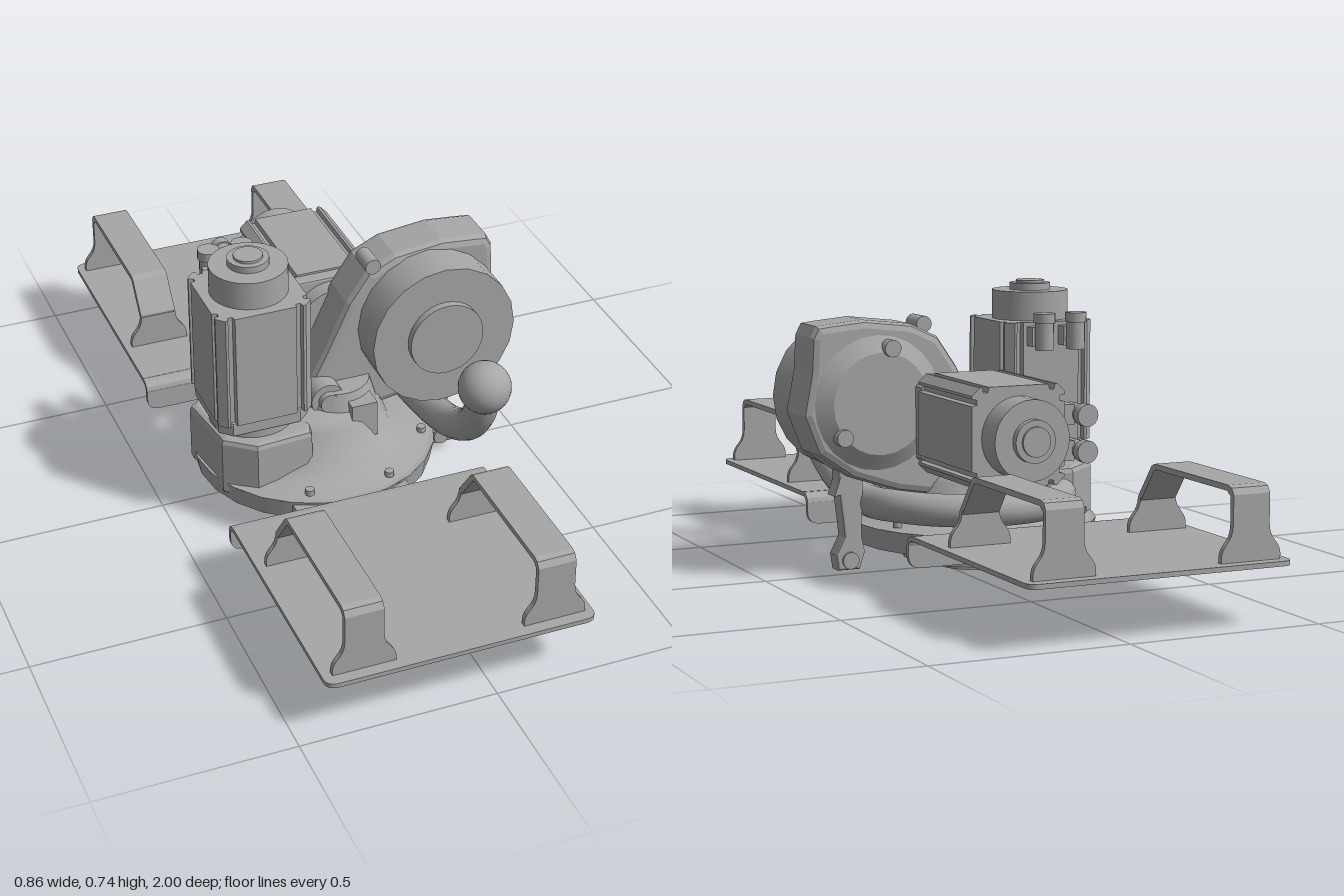
import * as THREE from 'three';

const metal = new THREE.MeshStandardMaterial({ color: 0xa6a6a6 });
metal.name = 'grey metal';

function add(parent, name, geo, x = 0, y = 0, z = 0) {
  const m = new THREE.Mesh(geo, metal);
  m.name = name;
  m.position.set(x, y, z);
  parent.add(m);
  return m;
}
const disc = (r, h, r2 = r, seg = 32) => new THREE.CylinderGeometry(r2, r, h, seg);
const discZ = (r, h, seg = 32) => disc(r, h, r, seg).rotateX(Math.PI / 2);
const shapeOf = pts => new THREE.Shape(pts.map(p => new THREE.Vector2(p[0], p[1])));
const extrude = (shape, depth, bevel = 0, curveSegments = 8) => new THREE.ExtrudeGeometry(shape, {
  depth: depth - 2 * bevel, bevelEnabled: bevel > 0, bevelThickness: bevel, bevelSize: bevel,
  bevelOffset: -bevel, bevelSegments: 2, curveSegments,
}).translate(0, 0, bevel);

// Rectangle rounded only on its two lower corners
function tongue(x0, x1, y0, y1, r) {
  const s = new THREE.Shape();
  s.moveTo(x0, y1);
  s.lineTo(x0, y0 + r);
  s.quadraticCurveTo(x0, y0, x0 + r, y0);
  s.lineTo(x1 - r, y0);
  s.quadraticCurveTo(x1, y0, x1, y0 + r);
  s.lineTo(x1, y1);
  return s;
}

// Bent carrying strap with flared feet; runs along z
function makeHandle() {
  const g = new THREE.Group();
  g.name = 'handle';
  const t = 0.014;
  const strap = shapeOf([
    [0.97, 0.157], [0.97, 0.315], [0.96, 0.33], [0.945, 0.335], [0.6, 0.335], [0.585, 0.328],
    [0.525, 0.25], [0.52, 0.235], [0.52, 0.157], [0.52 + t, 0.157], [0.52 + t, 0.235],
    [0.597, 0.317], [0.605, 0.321], [0.94, 0.321], [0.956, 0.31], [0.956, 0.157],
  ]);
  // Extrusion axis becomes -x, profile x becomes z
  add(g, 'strap', extrude(strap, 0.097).rotateY(-Math.PI / 2), 0.0485);
  const foot = new THREE.Shape();
  foot.moveTo(-0.079, 0.157);
  foot.lineTo(0.079, 0.157);
  foot.lineTo(0.079, 0.172);
  foot.bezierCurveTo(0.075, 0.205, 0.05, 0.2, 0.0485, 0.245);
  foot.lineTo(-0.0485, 0.245);
  foot.bezierCurveTo(-0.05, 0.2, -0.075, 0.205, -0.079, 0.172);
  for (const z of [0.52, 0.956]) add(g, 'handleFoot', extrude(foot, t), 0, 0, z);
  return g;
}

// Mounting tray on the +z side, or mirrored to the back
function makeTray(side) {
  const g = new THREE.Group();
  g.name = side > 0 ? 'frontTray' : 'backTray';
  const place = (name, geo, x = 0, y = 0, z = 0) => add(g, name, geo, x, y, z);
  place('trayPlate', extrude(tongue(-0.43, 0.255, -1, -0.36, 0.03), 0.012).rotateX(-Math.PI / 2), 0, 0.145);
  const bend = shapeOf([[0.365, 0.157], [0.345, 0.154], [0.333, 0.144], [0.329, 0.13],
    [0.341, 0.13], [0.344, 0.138], [0.352, 0.144], [0.365, 0.145]]);
  place('trayBend', extrude(bend, 0.685).rotateY(-Math.PI / 2), 0.255);
  place('trayLip', extrude(tongue(-0.43, 0.255, 0.073, 0.132, 0.035), 0.012), 0, 0, 0.329);
  for (const x of [-0.2, 0.028]) {
    place('lipScrew', discZ(0.013, 0.006, 16), x, 0.097, 0.341);
    place('trayTab', new THREE.BoxGeometry(0.08, 0.045, 0.11), x, 0.097, 0.275);
  }
  for (const x of [-0.327, 0.156]) {
    const h = makeHandle();
    h.position.x = x;
    g.add(h);
  }
  if (side < 0) { // turn round and restore the x offset
    g.rotation.y = Math.PI;
    g.position.x = -0.175;
  }
  return g;
}

// Servo motor standing on its mounting face, axis +y, plugs on -z
function makeMotor(name) {
  const g = new THREE.Group();
  g.name = name;
  const side = [[0.125, -0.105], [0.125, -0.098], [0.112, -0.095], [0.112, -0.083], [0.125, -0.08],
    [0.125, 0.08], [0.112, 0.083], [0.112, 0.095], [0.125, 0.098], [0.125, 0.105], [0.105, 0.125]];
  const outline = [];
  for (let k = 0; k < 4; k++) {
    const c = Math.round(Math.cos(k * Math.PI / 2)), s = Math.round(Math.sin(k * Math.PI / 2));
    for (const [x, y] of side) outline.push([c * x - s * y, s * x + c * y]);
  }
  const up = geo => geo.rotateX(-Math.PI / 2);
  add(g, 'motorBody', up(extrude(shapeOf(outline), 0.315)), 0, 0.035);
  const flange = [[0.12, -0.09], [0.12, 0.09], [0.09, 0.12], [-0.09, 0.12], [-0.12, 0.09], [-0.12, -0.09], [-0.09, -0.12], [0.09, -0.12]];
  add(g, 'motorFlange', up(extrude(shapeOf(flange), 0.04, 0.006)));
  add(g, 'motorNeck', disc(0.11, 0.05), 0, -0.02);
  add(g, 'brakeHousing', disc(0.1, 0.08), 0, 0.385);
  add(g, 'endCap', disc(0.053, 0.02), 0, 0.433);
  add(g, 'endCapCentre', disc(0.037, 0.008), 0, 0.446);
  for (const x of [-0.045, 0.045]) {
    add(g, 'plugBase', new THREE.BoxGeometry(0.05, 0.05, 0.035), x, 0.315, -0.14);
    add(g, 'plugElbow', disc(0.024, 0.075, 0.024, 16), x, 0.32, -0.175);
    add(g, 'plugCollar', disc(0.028, 0.025, 0.028, 16), x, 0.365, -0.175);
  }
  return g;
}

export function createModel() {
  const model = new THREE.Group();
  model.name = 'robotBase';
  model.add(makeTray(1), makeTray(-1));

  // Turntable base with stepped underside and domed top
  const base = new THREE.Group();
  base.name = 'base';
  model.add(base);
  add(base, 'pivotDisc', disc(0.1, 0.03), -0.085, 0.015);
  add(base, 'bearingDisc', disc(0.19, 0.055), -0.085, 0.0525);
  add(base, 'baseFlange', disc(0.31, 0.055, 0.32, 24), -0.08, 0.1);
  const dome = [[0.318, 0.125], [0.25, 0.14], [0.2, 0.165], [0.175, 0.235], [0.15, 0.26], [0.1, 0.266], [0, 0.266]];
  add(base, 'baseDome', new THREE.LatheGeometry(dome.map(p => new THREE.Vector2(...p)), 32), -0.08);
  const pod = [[-0.4, -0.05], [-0.375, 0.13], [-0.3, 0.19], [-0.15, 0.18], [-0.1, 0], [-0.15, -0.13], [-0.3, -0.14]];
  add(base, 'motorPod', extrude(shapeOf(pod.map(([x, z]) => [x, -z]).reverse()), 0.17, 0.015).rotateX(-Math.PI / 2), 0, 0.09);
  for (let i = 0; i < 8; i++) {
    const a = (i + 0.5) * Math.PI / 4;
    add(base, 'flangeBolt', disc(0.012, 0.015, 0.012, 10), -0.08 + 0.285 * Math.cos(a), 0.14, 0.285 * Math.sin(a));
  }
  add(base, 'stopBlock', new THREE.BoxGeometry(0.07, 0.1, 0.06), 0.005, 0.238, 0.125);

  // Teardrop arm housing
  const arm = new THREE.Group();
  arm.name = 'armHousing';
  model.add(arm);
  const outline = shapeOf([[-0.15, 0.23], [0.05, 0.2], [0.17, 0.22], [0.29, 0.26], [0.385, 0.325], [0.425, 0.425],
    [0.405, 0.53], [0.4, 0.62], [0.385, 0.648], [0.35, 0.652], [0.26, 0.66], [0.13, 0.645], [0.055, 0.61], [0, 0.53], [-0.06, 0.4], [-0.12, 0.28]]);
  add(arm, 'housingShell', extrude(outline, 0.14, 0.02), 0, 0, -0.085);
  add(arm, 'housingFoot', disc(0.13, 0.14, 0.09), -0.03, 0.24, 0.03);
  add(arm, 'shoulderDrum', discZ(0.195, 0.12, 20), 0.22, 0.45, 0.1);
  add(arm, 'shoulderCap', discZ(0.1, 0.03), 0.22, 0.45, 0.165);
  add(arm, 'backCover', new THREE.CylinderGeometry(0.18, 0.13, 0.03, 24).rotateX(Math.PI / 2), 0.225, 0.45, -0.095);
  add(arm, 'liftingEar', discZ(0.021, 0.07, 16), 0.062, 0.635, 0.03);
  add(arm, 'sidePlug', discZ(0.045, 0.06, 20), -0.075, 0.287, 0.07);
  add(arm, 'sideScrew', discZ(0.026, 0.02, 20), -0.075, 0.287, 0.108);
  for (const [x, y] of [[0.2, 0.59], [0.33, 0.37]]) add(arm, 'coverBolt', discZ(0.022, 0.03, 14), x, y, -0.11);

  // Cable bracket hanging beside the base
  const bracket = new THREE.Group();
  bracket.name = 'bracket';
  model.add(bracket);
  add(bracket, 'bracketArm', extrude(shapeOf([[0.25, 0.015], [0.31, 0.015], [0.316, 0.055], [0.293, 0.1], [0.297, 0.14],
    [0.306, 0.21], [0.31, 0.28], [0.24, 0.28], [0.245, 0.1], [0.236, 0.06]]), 0.05, 0.006), 0, 0, -0.025);
  add(bracket, 'bracketFin', extrude(shapeOf([[0.25, 0.225], [0.32, 0.207], [0.3, 0.265], [0.25, 0.27]]), 0.05), 0, 0, -0.025);
  add(bracket, 'bracketPin', discZ(0.022, 0.065, 20), 0.278, 0.04);

  // Both drive motors
  const yaw = makeMotor('uprightMotor');
  yaw.position.set(-0.265, 0.285, 0.045);
  const shoulder = makeMotor('levelMotor');
  shoulder.position.set(0.013, 0.4, -0.105);
  shoulder.rotation.set(-Math.PI / 2, Math.PI / 2, 0);
  model.add(yaw, shoulder);

  // Cable tube sweeping round the back and up to the ball
  const path = [[0.215, 0.455, 0.425], [0.215, 0.375, 0.4], [0.215, 0.3, 0.345], [0.215, 0.235, 0.24], [0.215, 0.198, 0.12], [0.21, 0.185, 0]];
  for (let i = 1; i <= 7; i++) {
    const a = i * Math.PI / 8;
    path.push([-0.04 + 0.25 * Math.cos(a), 0.19, -0.03 - 0.25 * Math.sin(a)]);
  }
  const curve = new THREE.CatmullRomCurve3(path.map(p => new THREE.Vector3(...p)));
  add(model, 'cableTube', new THREE.TubeGeometry(curve, 64, 0.042, 16));
  add(model, 'ballEnd', new THREE.SphereGeometry(0.067, 24, 16), 0.215, 0.455, 0.42);
  return model;
}
